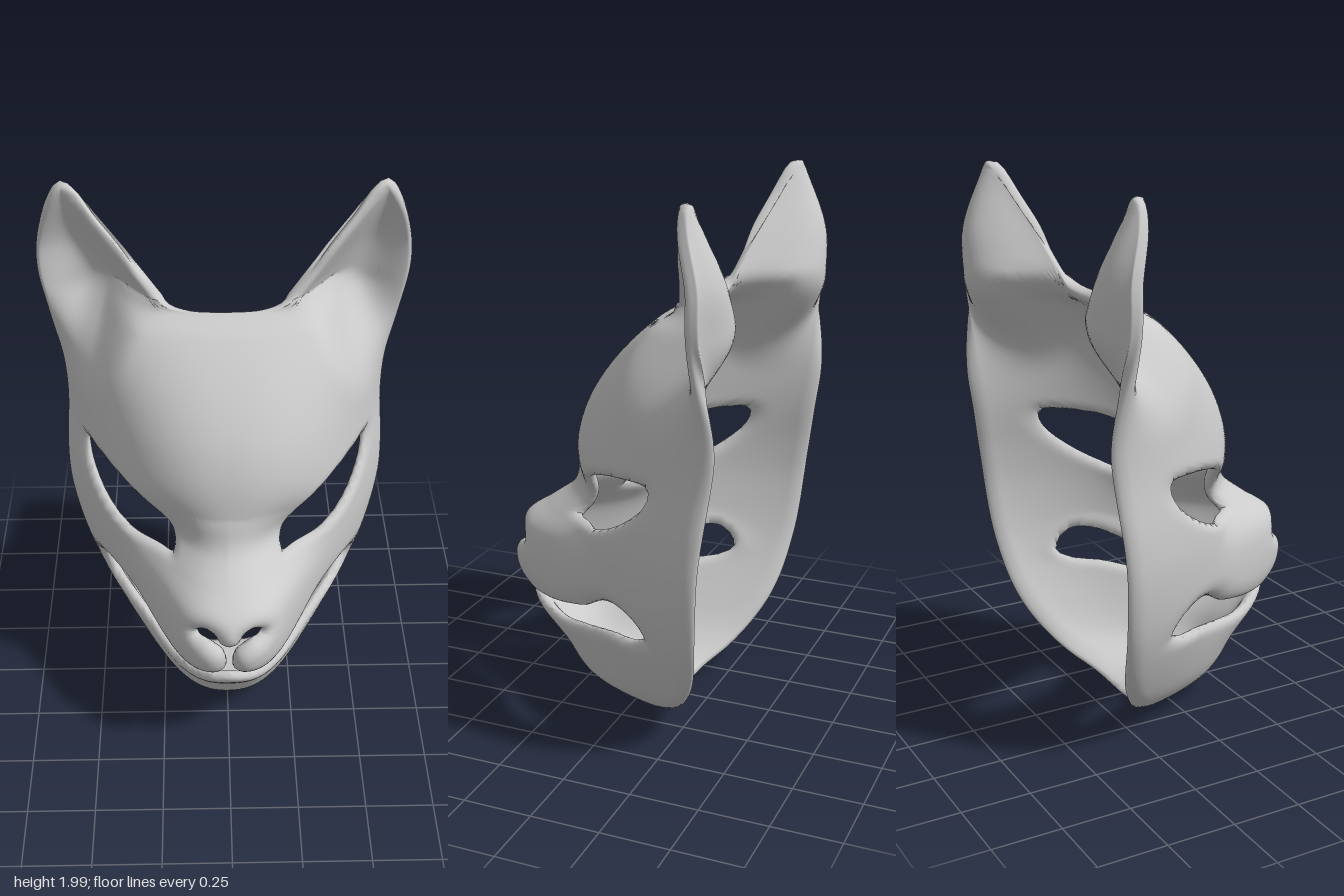
import * as THREE from 'three';
import { mergeVertices } from 'three/addons/utils/BufferGeometryUtils.js';

const { smoothstep, lerp, clamp } = THREE.MathUtils;
const RINGS = 90, HALF = 120, CENTRE = [0, 0.75];
const WALL = 0.023, RIM = 0.034;

const spline = (pts, closed, n) =>
  new THREE.CatmullRomCurve3(pts.map(([x, y]) => new THREE.Vector3(x, y, 0)), closed, 'centripetal')
    .getSpacedPoints(n).map((p) => [p.x, p.y]);
const mirror = (half) => half.concat(half.slice(1, -1).reverse().map(([x, y]) => [-x, y]));

// Outline of one half, from chin round the ear to the middle of the brow
const halfOutline = spline([
  [0, 0.02], [0.09, 0.027], [0.17, 0.047], [0.325, 0.137], [0.45, 0.29], [0.555, 0.5], [0.602, 0.71], [0.608, 0.87],
  [0.596, 1.08], [0.606, 1.24], [0.644, 1.42], [0.686, 1.61], [0.684, 1.74], [0.64, 1.9], [0.575, 1.997],
  [0.53, 1.975], [0.46, 1.885], [0.38, 1.79], [0.3, 1.685], [0.215, 1.592], [0.14, 1.567], [0, 1.56]], false, HALF);
const outline = mirror(halfOutline);

// Openings: eye (mirrored by |x|) and the joined nostrils, lip cleft and mouth
const eye = spline([
  [0.2, 0.772], [0.195, 0.84], [0.25, 0.92], [0.355, 0.99], [0.46, 1.028], [0.515, 1.03],
  [0.518, 0.95], [0.46, 0.85], [0.355, 0.785], [0.25, 0.768]], true, 90);
const mouth = mirror(spline([
  [0, 0.575], [0.03, 0.588], [0.05, 0.622], [0.08, 0.635], [0.11, 0.62], [0.112, 0.595], [0.07, 0.583],
  [0.026, 0.55], [0.014, 0.5], [0.02, 0.45], [0.08, 0.415], [0.16, 0.405], [0.22, 0.415], [0.28, 0.45],
  [0.34, 0.505], [0.4, 0.54], [0.445, 0.543], [0.463, 0.51], [0.455, 0.45], [0.425, 0.42], [0.38, 0.41],
  [0.32, 0.385], [0.26, 0.362], [0.2, 0.345], [0.14, 0.36], [0.07, 0.392], [0, 0.407]], false, 130));

// Distance to a closed polygon, negative inside
function distance(poly, x, y) {
  let best = Infinity, inside = false;
  for (let i = 0, j = poly.length - 1; i < poly.length; j = i++) {
    const [ax, ay] = poly[j], [bx, by] = poly[i], dx = bx - ax, dy = by - ay;
    const k = clamp(((x - ax) * dx + (y - ay) * dy) / (dx * dx + dy * dy || 1e-9), 0, 1);
    best = Math.min(best, Math.hypot(x - ax - k * dx, y - ay - k * dy));
    if ((ay > y) !== (by > y) && x < ax + dx * (y - ay) / dy) inside = !inside;
  }
  return inside ? -best : best;
}

// Smooth interpolation through [y, value] pairs
function profile(t, y) {
  if (y <= t[0][0]) return t[0][1];
  const last = t.length - 1;
  if (y >= t[last][0]) return t[last][1];
  let i = 0;
  while (y > t[i + 1][0]) i++;
  const slope = (k) => {
    const a = t[Math.max(k - 1, 0)], b = t[Math.min(k + 1, last)];
    return (b[1] - a[1]) / (b[0] - a[0]);
  };
  const w = t[i + 1][0] - t[i][0], s = (y - t[i][0]) / w, s2 = s * s, s3 = s2 * s;
  return (2 * s3 - 3 * s2 + 1) * t[i][1] + (3 * s2 - 2 * s3) * t[i + 1][1]
    + w * ((s3 - 2 * s2 + s) * slope(i) + (s3 - s2) * slope(i + 1));
}

// Depth along the centre line, along the outer edge, and the extra muzzle depth
const centreDepth = [[0.02, -0.16], [0.035, -0.02], [0.07, 0.1], [0.13, 0.17], [0.25, 0.21], [0.5, 0.24],
  [0.8, 0.235], [0.95, 0.225], [1.1, 0.2], [1.23, 0.145], [1.37, 0.04], [1.5, -0.1], [1.56, -0.2], [1.65, -0.23]];
const edgeDepth = [[0.02, -0.16], [0.1, -0.245], [0.28, -0.355], [0.5, -0.405], [0.81, -0.435], [1, -0.46],
  [1.19, -0.485], [1.4, -0.495], [1.8, -0.47]];
const muzzleDepth = [[0, 0], [0.05, 0.03], [0.115, 0.055], [0.23, 0.09], [0.34, 0.18], [0.39, 0.215], [0.44, 0.235],
  [0.5, 0.262], [0.6, 0.262], [0.67, 0.235], [0.735, 0.145], [0.825, 0.04], [0.95, 0]];

function halfWidth(y) {
  for (let i = 0; i < HALF; i++) {
    const [ax, ay] = halfOutline[i], [bx, by] = halfOutline[i + 1];
    if (y <= by) return lerp(ax, bx, clamp((y - ay) / (by - ay || 1), 0, 1));
    if (by < ay) return ax;
  }
  return 0.575;
}

function depth(x, y, mouthGap) {
  x = Math.abs(x);
  const width = Math.max(halfWidth(y), 0.001), t = Math.min(x / width, 1);
  // rounded face with muzzle and sunken eye corners
  let face = lerp(profile(edgeDepth, y), profile(centreDepth, y), Math.pow(1 - Math.pow(t, 2.3), 0.8));
  face += profile(muzzleDepth, y) * Math.exp(-Math.pow(x / 0.235, 3.2));
  face -= 0.09 * Math.exp(-((x - 0.22) ** 2 + (y - 0.825) ** 2) / 0.015);
  // upper lip curls inward
  if (mouthGap < 0.06) face -= 0.04 * (1 - Math.max(mouthGap, 0) / 0.06) ** 2 * smoothstep(y, 0.39, 0.45);
  // hollow ear, its inner rim further forward than its outer rim
  const inner = 0.225 + (y > 1.6 ? 0.87 * (y - 1.6) : 0.6 * (1.6 - y));
  const s = clamp((x - inner) / Math.max(width - inner, 0.03), 0, 1);
  const hollow = 0.16 * Math.sin(clamp((2 - y) / 0.55, 0, 1) * Math.PI / 2);
  const ear = lerp(-0.215 - 0.365 * (y - 1.58), lerp(-0.43, -0.36, smoothstep(y, 1.7, 2)), s)
    - hollow * Math.sin(Math.PI * s) ** 1.3;
  const low = smoothstep(y, 1.15, 1.6) * smoothstep(s, 0, 0.4);
  return lerp(face, ear, lerp(low, 1, smoothstep(y, 1.5, 1.66)));
}

function maskGeometry() {
  // rings from the bridge of the nose out to the outline; vertex = [x, y, z, distance to an edge]
  const n = outline.length, grid = [];
  for (let j = 0; j <= RINGS; j++) {
    const r = 1 - Math.pow(1 - j / RINGS, 1.5);
    grid.push(outline.map(([ox, oy]) => {
      const x = lerp(CENTRE[0], ox, r), y = lerp(CENTRE[1], oy, r);
      const gap = distance(mouth, x, y);
      const rim = j === RINGS ? 0 : Math.abs(distance(outline, x, y)) * 3;
      return [x, y, depth(x, y, gap), Math.min(gap, distance(eye, Math.abs(x), y), rim)];
    }));
  }
  // cut the openings out of each triangle
  const pos = [], dist = [];
  const put = (v) => { pos.push(v[0], v[1], v[2]); dist.push(Math.max(v[3], 0)); };
  const addTriangle = (...tri) => {
    const kept = [];
    tri.forEach((a, i) => {
      const b = tri[(i + 1) % 3];
      if (a[3] >= 0) kept.push(a);
      if ((a[3] >= 0) !== (b[3] >= 0)) kept.push(a.map((v, k) => lerp(v, b[k], a[3] / (a[3] - b[3]))));
    });
    for (let i = 2; i < kept.length; i++) [kept[0], kept[i - 1], kept[i]].forEach(put);
  };
  for (let j = 0; j < RINGS; j++) for (let i = 0; i < n; i++) {
    const k = (i + 1) % n, a = grid[j][i], b = grid[j + 1][i], c = grid[j + 1][k], d = grid[j][k];
    // diagonals mirror each other across the middle
    if (i < HALF) {
      addTriangle(a, b, c);
      if (j > 0) addTriangle(a, c, d);
    } else {
      addTriangle(b, c, d);
      if (j > 0) addTriangle(a, b, d);
    }
  }
  let mid = new THREE.BufferGeometry();
  mid.setAttribute('position', new THREE.Float32BufferAttribute(pos, 3));
  mid.setAttribute('gap', new THREE.Float32BufferAttribute(dist, 1));
  mid = mergeVertices(mid, 1e-5);
  mid.computeVertexNormals();

  // thicken to both sides, rounding off to nothing at every edge
  const { position: p, normal: m, gap } = mid.attributes, shell = [], index = [...mid.index.array];
  for (const side of [1, -1]) for (let i = 0; i < p.count; i++) {
    const k = Math.min(gap.getX(i) / RIM, 1), h = side * WALL * Math.sqrt(k * (2 - k));
    shell.push(p.getX(i) + m.getX(i) * h, p.getY(i) + m.getY(i) * h, p.getZ(i) + m.getZ(i) * h);
  }
  for (let i = 0, len = index.length; i < len; i += 3)
    index.push(index[i] + p.count, index[i + 2] + p.count, index[i + 1] + p.count);
  let geo = new THREE.BufferGeometry();
  geo.setAttribute('position', new THREE.Float32BufferAttribute(shell, 3));
  geo.setIndex(index);
  geo = mergeVertices(geo, 1e-5);
  geo.computeVertexNormals();
  return geo;
}

export function createModel() {
  const group = new THREE.Group();
  group.name = 'animalMask';
  const mask = new THREE.Mesh(maskGeometry(),
    new THREE.MeshStandardMaterial({ color: 0xcccccc, side: THREE.DoubleSide }));
  mask.name = 'maskShell';
  group.add(mask);
  return group;
}
